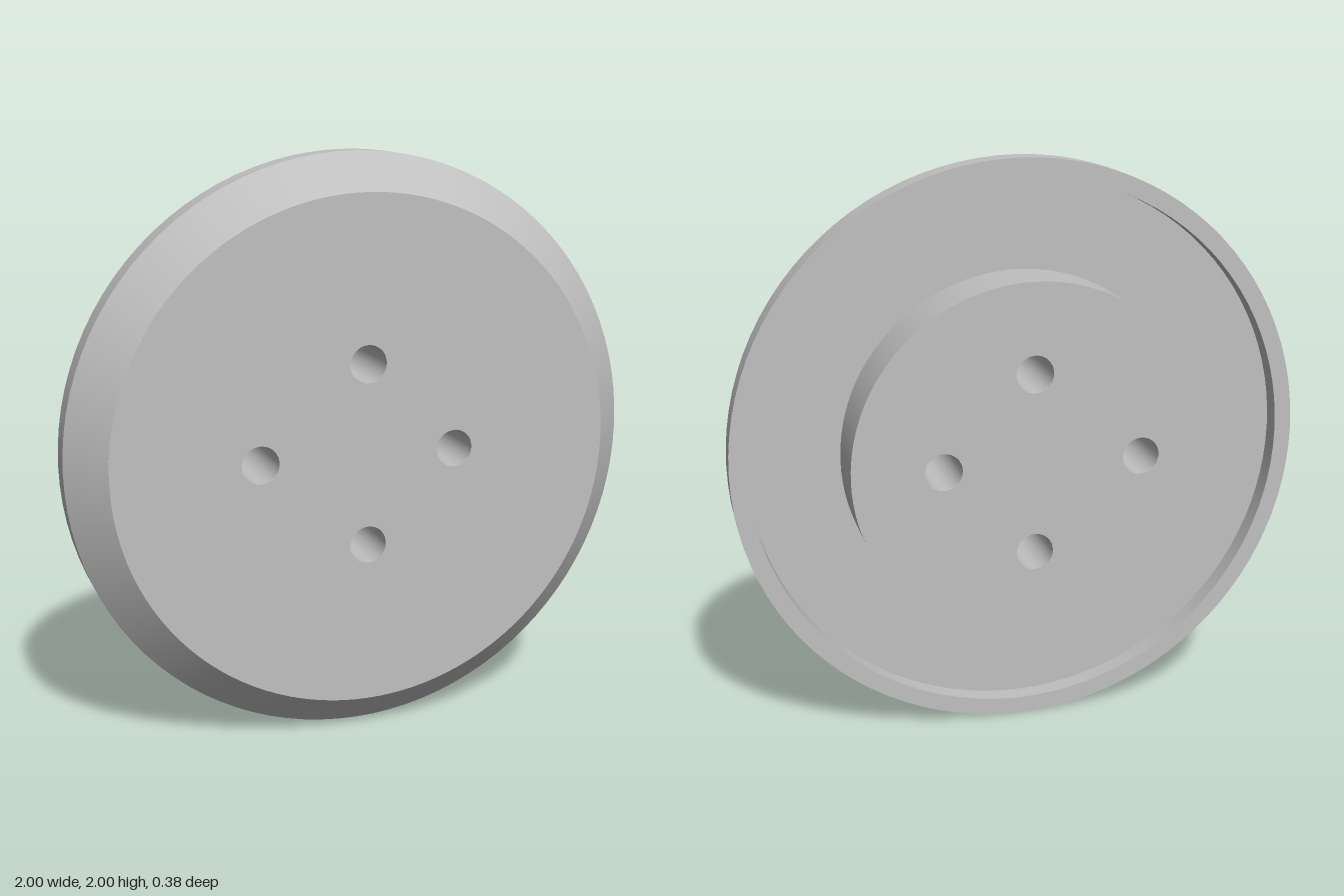
import * as THREE from 'three';

const SEGMENTS = 96;
const HOLE_SEGMENTS = 32;
const FRONT = 0.1875;
const BACK = -0.1875;
const HOLE_RADIUS = 0.064;
const HOLES = [[0, 0.3125], [0, -0.3125], [0.3125, 0], [-0.375, 0]];

// Surface of revolution about z from one straight [radius, z] segment
function ring(from, to, segments = SEGMENTS) {
  const points = [new THREE.Vector2(...from), new THREE.Vector2(...to)];
  return new THREE.LatheGeometry(points, segments).rotateX(Math.PI / 2);
}

// Flat disc facing +z, pierced by the four holes; mirror = -1 flips them in x
function piercedDisc(radius, mirror) {
  const shape = new THREE.Shape().absarc(0, 0, radius, 0, Math.PI * 2, false);
  for (const [x, y] of HOLES) {
    shape.holes.push(new THREE.Path().absarc(x * mirror, y, HOLE_RADIUS, 0, Math.PI * 2, true));
  }
  return new THREE.ShapeGeometry(shape, HOLE_SEGMENTS * 2);
}

export function createModel() {
  const grey = new THREE.MeshStandardMaterial({ color: 0xc0c0c0 });
  grey.name = 'plain grey';

  const model = new THREE.Group();
  model.name = 'piercedFlangeDisc';
  const add = (name, geometry) => {
    const mesh = new THREE.Mesh(geometry, grey);
    mesh.name = name;
    mesh.position.y = 1;
    model.add(mesh);
    return mesh;
  };

  // Pierced flat faces
  add('frontFace', piercedDisc(0.875, 1)).position.z = FRONT;
  const hubFace = add('hubBackFace', piercedDisc(0.622, -1));
  hubFace.position.z = BACK;
  hubFace.rotation.y = Math.PI;

  // Turned surfaces, from the hub out to the front bevel
  const profile = [[0.622, BACK], [0.622, 0.033], [0.9395, 0.033], [0.9395, -0.033],
    [1, -0.033], [1, 0.062], [0.875, FRONT]];
  const names = ['hubWall', 'recessFloor', 'recessWall', 'rimBackFace', 'rimEdge', 'frontBevel'];
  names.forEach((name, i) => add(name, ring(profile[i], profile[i + 1])));

  // Bores running right through plate and hub
  for (const [x, y] of HOLES) {
    const bore = add('holeBore', ring([HOLE_RADIUS, FRONT], [HOLE_RADIUS, BACK], HOLE_SEGMENTS));
    bore.position.set(x, 1 + y, 0);
  }

  return model;
}
